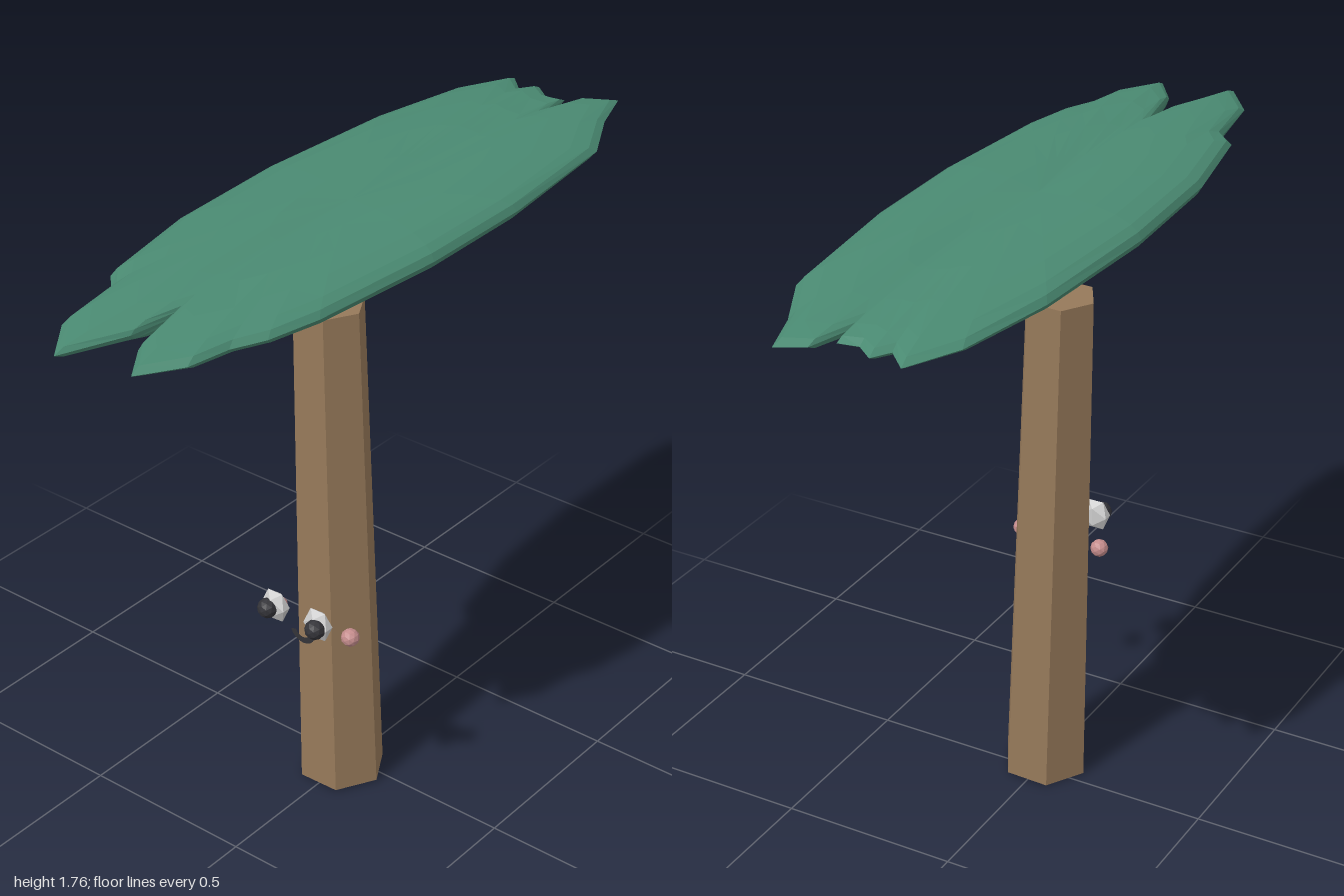
import * as THREE from 'three';

const mat = (color, extra = {}) => new THREE.MeshStandardMaterial({ color, flatShading: true, ...extra });

function add(group, name, geometry, material, x = 0, y = 0, z = 0) {
  const mesh = new THREE.Mesh(geometry, material);
  mesh.name = name;
  mesh.position.set(x, y, z);
  group.add(mesh);
  return mesh;
}

// Long flat leaf canopy: a ragged outline filled with domed rings above and below
function canopyGeometry() {
  const outline = [
    [-0.32, -0.06], [-0.30, 0.32], [-0.24, 0.62], [-0.19, 0.67], [-0.16, 0.87], [-0.07, 0.99],
    [0, 0.81], [0.02, 0.67], [0.06, 0.85], [0.13, 0.95], [0.2, 0.84], [0.22, 0.72],
    [0.26, 0.63], [0.29, 0.48], [0.32, 0.08], [0.315, -0.27], [0.27, -0.69], [0.18, -0.86],
    [0.13, -1.0], [0.06, -0.96], [0.025, -0.83], [0.015, -0.91], [-0.04, -0.9], [-0.09, -0.94],
    [-0.12, -0.89], [-0.18, -0.95], [-0.25, -0.8], [-0.3, -0.5],
  ];
  const n = outline.length;
  const rings = [0.3, 0.55, 0.75, 0.9, 0.97, 1];
  const positions = [], index = [];
  for (const side of [1, -1]) {
    const start = positions.length / 3;
    const put = (x, z, r) => {
      const dip = 1 - (side > 0 ? 0.28 : 0.1) * Math.exp(-(((x - 0.02) / 0.06) ** 2));
      const h = 0.056 * Math.sqrt(1 - r ** 4) * (1 - 0.35 * z * z) * dip;
      positions.push(x, side * h, z);
    };
    const tri = (a, b, c) => (side > 0 ? index.push(a, b, c) : index.push(a, c, b));
    put(0, 0, 0);
    for (const r of rings) {
      for (const [x, z] of outline) {
        // notches fade into a smooth oval toward the middle
        const round = 1 / Math.hypot(x / 0.32, z / 0.98);
        const s = r * THREE.MathUtils.lerp(round, 1, r * r);
        put(x * s, z * s, r);
      }
    }
    for (let i = 0; i < n; i++) {
      const j = (i + 1) % n;
      tri(start, start + 1 + i, start + 1 + j);
      for (let k = 0; k < rings.length - 1; k++) {
        const inner = start + 1 + k * n, outer = inner + n;
        tri(inner + i, outer + i, outer + j);
        tri(inner + i, outer + j, inner + j);
      }
    }
  }
  const geometry = new THREE.BufferGeometry();
  geometry.setAttribute('position', new THREE.Float32BufferAttribute(positions, 3));
  geometry.setIndex(index);
  geometry.computeVertexNormals();
  return geometry;
}

export function createModel() {
  const model = new THREE.Group();
  model.name = 'tree';

  // Leaning six-sided trunk
  const trunkShape = new THREE.CylinderGeometry(0.098, 0.122, 1.452, 6).rotateY(Math.PI / 6);
  const trunk = add(model, 'trunk', trunkShape, mat(0x96795a), -0.02, 0.732, 0.04);
  trunk.rotation.z = 0.028;

  // Canopy and the small ball under it
  add(model, 'canopy', canopyGeometry(), mat(0x4a8a72), 0, 1.705, 0);
  add(model, 'ball', new THREE.IcosahedronGeometry(0.053, 0), mat(0xcccccc), 0, 1.6, 0.04);

  // Face, floating in front of the trunk and centred on x = 0.057
  const face = new THREE.Group();
  face.name = 'face';
  face.position.x = 0.057;
  model.add(face);
  const white = mat(0xeeeeee), dark = mat(0x333338), pink = mat(0xc48c8c);
  for (const [name, s] of [['right', -1], ['left', 1]]) {
    const eye = add(face, name + 'Eye', new THREE.IcosahedronGeometry(0.05, 0), white, s * 0.072, 0.68, 0.3);
    eye.scale.set(0.9, 1, 0.5);
    add(face, name + 'Pupil', new THREE.IcosahedronGeometry(0.028, 1), dark, s * 0.08, 0.68, 0.322);
    add(face, name + 'Cheek', new THREE.IcosahedronGeometry(0.025, 1), pink, s * 0.122, 0.622, 0.228);
  }

  // Thin flat smile
  const smile = new THREE.RingGeometry(0.024, 0.042, 8, 1, Math.PI + 0.3, Math.PI - 0.6);
  add(face, 'mouth', smile, mat(0x333338, { side: THREE.DoubleSide }), 0, 0.62, 0.275);

  return model;
}
